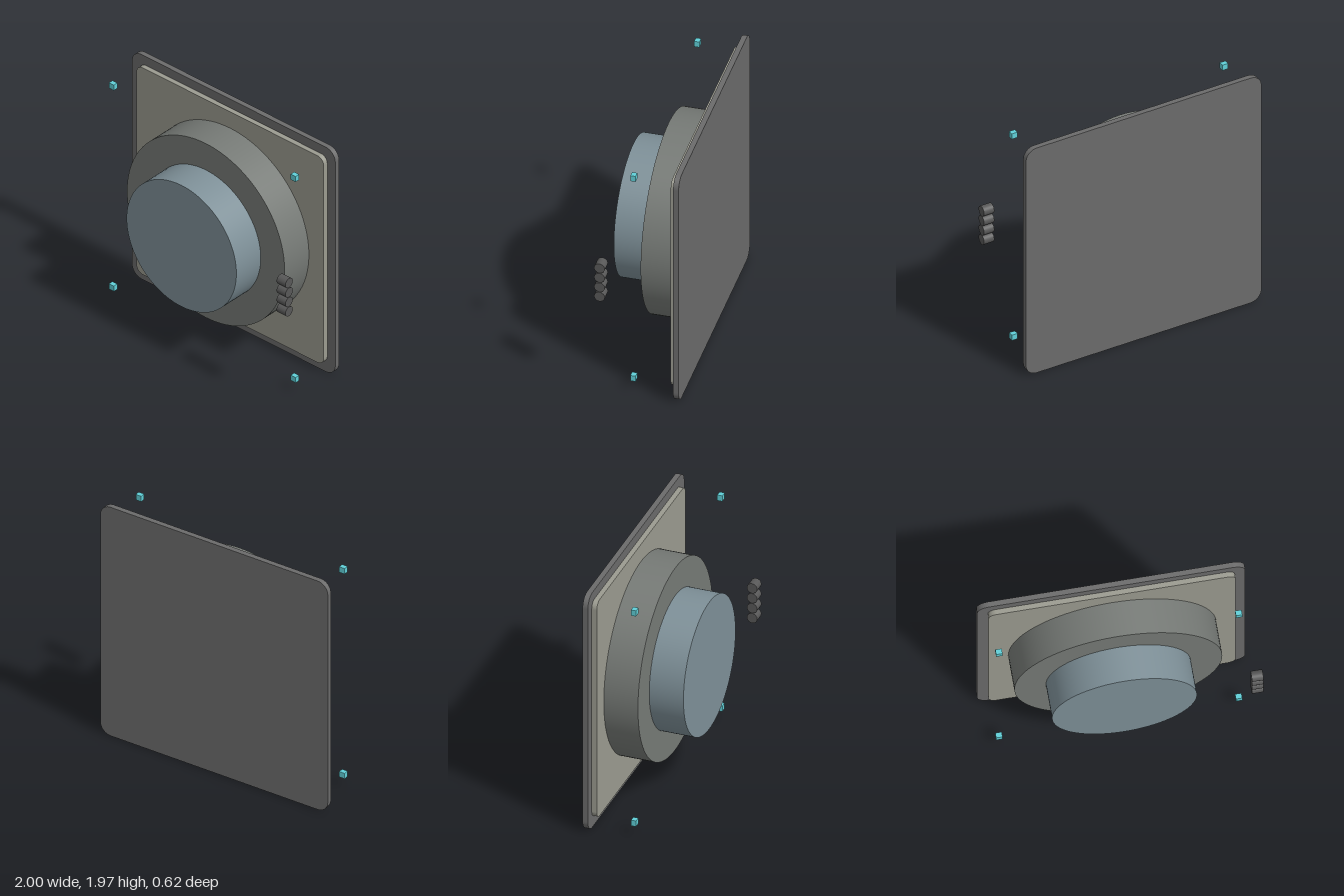
import * as THREE from 'three';

const CX = -0.018, CY = 0.983; // axis of the plate and the drums

const mat = (color) => new THREE.MeshStandardMaterial({ color });

function add(group, name, geometry, material, x, y, z) {
  const mesh = new THREE.Mesh(geometry, material);
  mesh.name = name;
  mesh.position.set(x, y, z);
  group.add(mesh);
  return mesh;
}

// Square slab with rounded corners, extruded along +z
function roundedSlab(size, r, depth) {
  const h = size / 2, s = new THREE.Shape();
  s.moveTo(-h + r, -h);
  s.absarc(h - r, -h + r, r, -Math.PI / 2, 0);
  s.absarc(h - r, h - r, r, 0, Math.PI / 2);
  s.absarc(-h + r, h - r, r, Math.PI / 2, Math.PI);
  s.absarc(-h + r, -h + r, r, Math.PI, Math.PI * 1.5);
  return new THREE.ExtrudeGeometry(s, { depth, bevelEnabled: false, curveSegments: 8 });
}

// Cylinder facing +z
const drum = (r, depth) => new THREE.CylinderGeometry(r, r, depth, 96).rotateX(Math.PI / 2);

export function createModel() {
  const model = new THREE.Group();
  model.name = 'wallUnit';

  // Back plate and raised panel
  add(model, 'backPlate', roundedSlab(1.965, 0.09, 0.041), mat(0x6b6b6b), CX, CY, -0.311);
  add(model, 'frontPanel', roundedSlab(1.81, 0.06, 0.039), mat(0x9b9b90), CX, CY + 0.002, -0.27);

  // Stepped drums
  add(model, 'outerDrum', drum(0.762, 0.264), mat(0x767a76), CX, CY + 0.002, -0.099);
  add(model, 'innerDrum', drum(0.531, 0.264), mat(0x7e9098), CX, CY + 0.002, 0.165);

  // Floating corner markers
  const cyan = mat(0x60d0d8);
  const marker = new THREE.BoxGeometry(0.047, 0.047, 0.039);
  for (const sx of [-1, 1])
    for (const sy of [-1, 1])
      add(model, 'cornerMarker', marker, cyan, CX + sx * 0.879, CY + 0.002 + sy * 0.88, 0.052);

  // Column of side buttons
  const dark = mat(0x585858);
  const button = new THREE.CylinderGeometry(0.04, 0.04, 0.085, 32).rotateZ(Math.PI / 2);
  for (let i = 0; i < 4; i++)
    add(model, 'sideButton', button, dark, 0.9575, 0.863 + i * 0.083, 0.272);

  return model;
}
